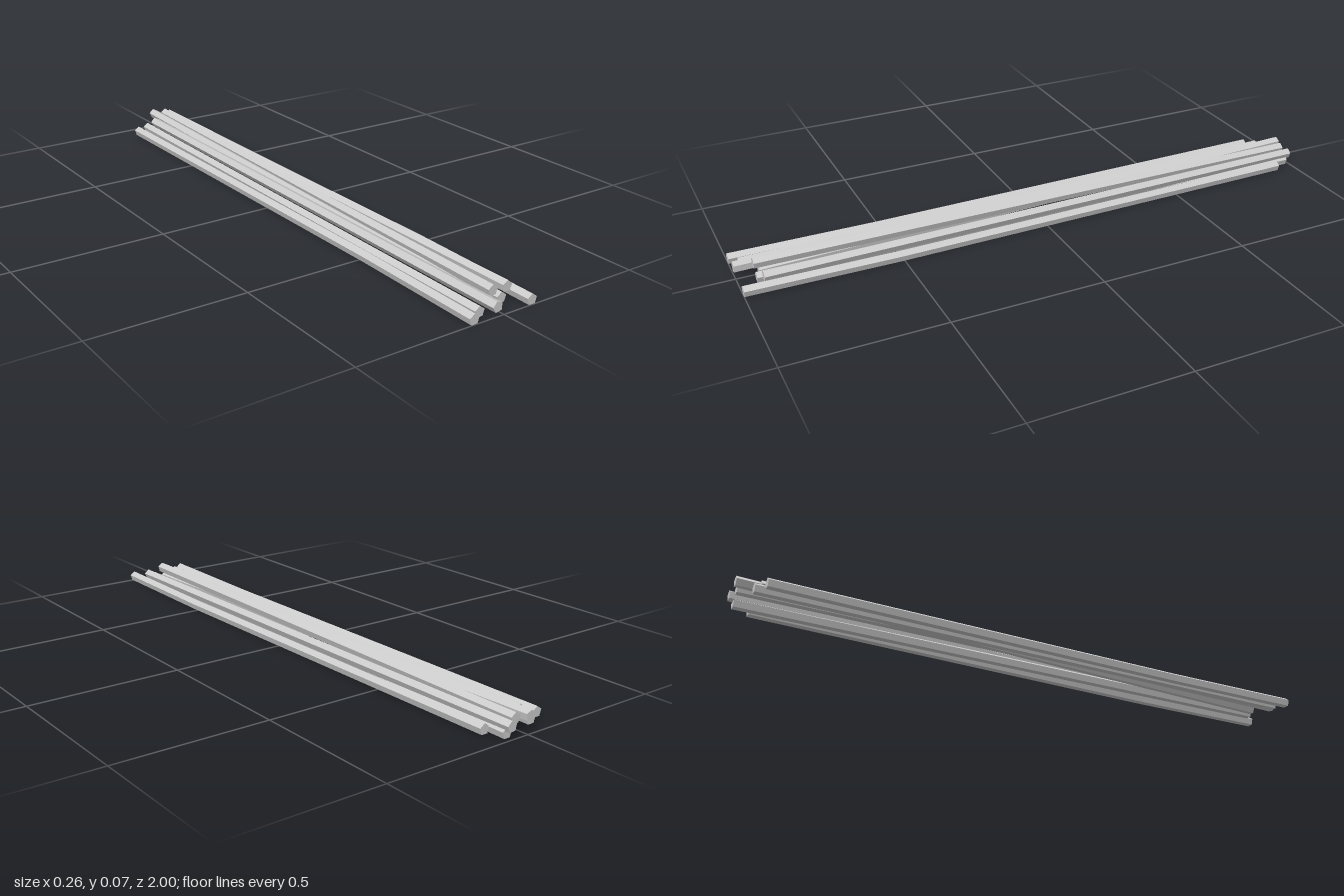
import * as THREE from 'three';

const RADIUS = 0.018, LENGTH = 1.93;
const GROUND = RADIUS * Math.cos(Math.PI / 5); // centre height of a rod resting on a flat side

// Five-sided rod from its front end to its back end, bowed sideways by a kink near the front
function makeRod(material, { name, front, back, z, roll = 0, bow = 0 }) {
  const geometry = new THREE.CylinderGeometry(RADIUS, RADIUS, LENGTH, 5, 4);
  geometry.rotateX(-Math.PI / 2);
  geometry.rotateZ(roll);
  const p = geometry.attributes.position;
  for (let i = 0; i < p.count; i++) {
    const t = 0.5 - p.getZ(i) / LENGTH; // 0 at the front, 1 at the back
    const bend = bow * (t < 0.25 ? t / 0.25 : (1 - t) / 0.75);
    p.setXYZ(i,
      p.getX(i) + THREE.MathUtils.lerp(front[0], back[0], t) + bend,
      p.getY(i) + THREE.MathUtils.lerp(front[1], back[1], t),
      p.getZ(i) + z - LENGTH / 2);
  }
  geometry.computeVertexNormals();
  const mesh = new THREE.Mesh(geometry, material);
  mesh.name = name;
  return mesh;
}

export function createModel() {
  const group = new THREE.Group();
  group.name = 'rodPile';
  const material = new THREE.MeshStandardMaterial({ color: 0xcccccc, flatShading: true });

  // front and back are [x, y] of the rod's centre, z is its front end
  const rods = [
    // resting on the ground
    { name: 'outerRightRod', front: [-0.107, GROUND], back: [-0.111, GROUND], z: 1, bow: 0.008 },
    { name: 'innerRightRod', front: [-0.066, GROUND], back: [-0.06, GROUND], z: 0.975 },
    { name: 'innerLeftRod', front: [0.042, GROUND], back: [0.065, GROUND], z: 0.945 },
    { name: 'outerLeftRod', front: [0.104, GROUND], back: [0.094, GROUND], z: 1, bow: 0.01 },
    // leaning up from the ground to the top of the pile
    { name: 'risingRod', front: [0.004, GROUND], back: [-0.008, 0.052], z: 0.93, roll: 0.15 },
    // stacked on top
    { name: 'upperRightRod', front: [-0.024, 0.028], back: [-0.038, 0.039], z: 1, roll: 0.25 },
    { name: 'topRod', front: [0.008, 0.046], back: [0.035, 0.05], z: 0.945 },
    { name: 'upperLeftRod', front: [0.077, 0.034], back: [0.062, 0.037], z: 0.93, roll: -0.1 },
  ];
  for (const rod of rods) group.add(makeRod(material, rod));
  return group;
}
